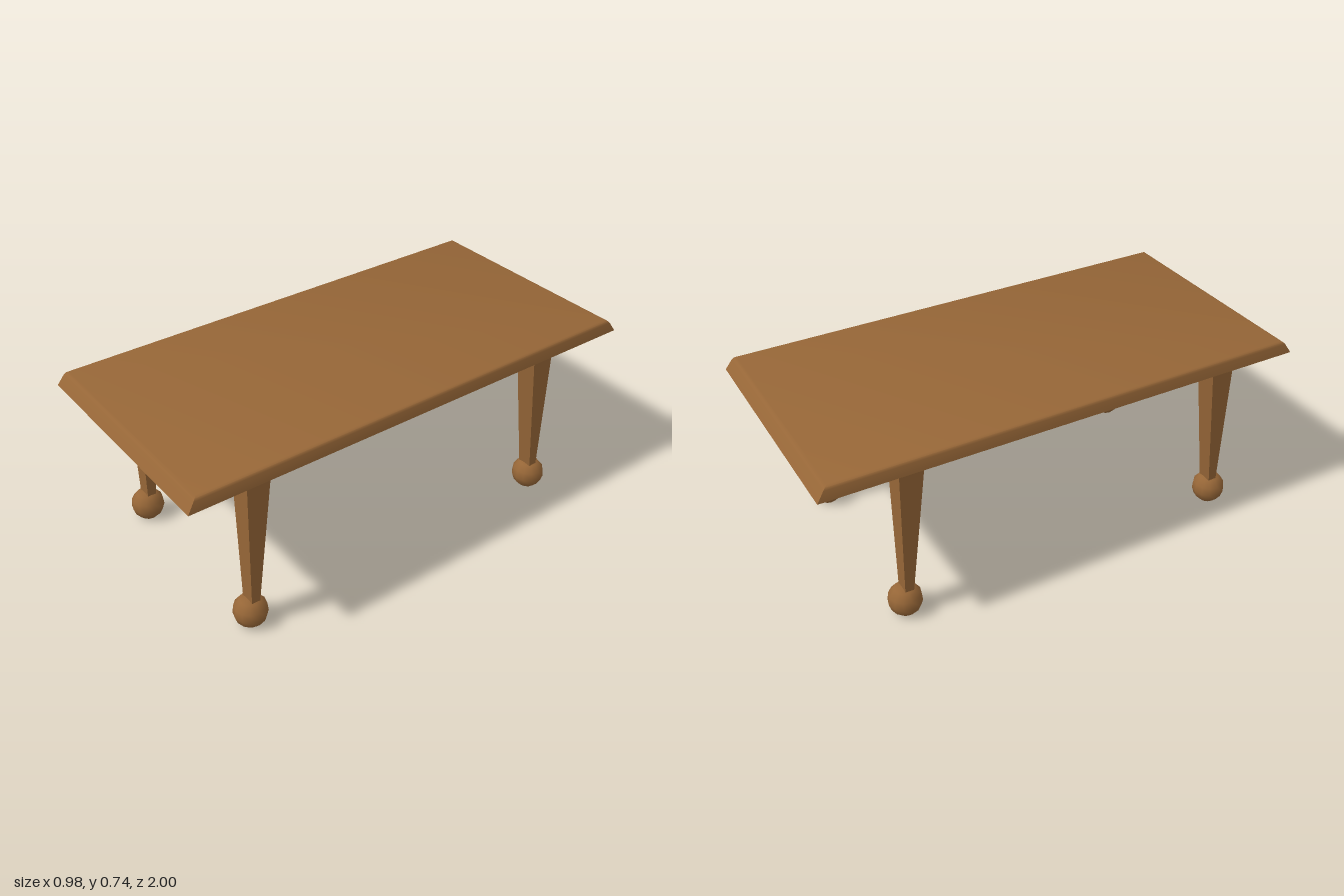
import * as THREE from 'three';
import { toCreasedNormals } from 'three/addons/utils/BufferGeometryUtils.js';

// Solid lofted through rectangular sections [y, x0, x1, z0, z1], listed bottom to top
function loftRects(sections, crease) {
  const pos = [], index = [];
  for (const [y, x0, x1, z0, z1] of sections) {
    pos.push(x0, y, z1, x1, y, z1, x1, y, z0, x0, y, z0);
  }
  for (let s = 0; s < sections.length - 1; s++) {
    for (let i = 0; i < 4; i++) {
      const a = s * 4 + i, b = s * 4 + (i + 1) % 4;
      index.push(a, b, b + 4, a, b + 4, a + 4);
    }
  }
  const t = (sections.length - 1) * 4;
  index.push(0, 2, 1, 0, 3, 2, t, t + 1, t + 2, t, t + 2, t + 3);
  const geo = new THREE.BufferGeometry();
  geo.setAttribute('position', new THREE.Float32BufferAttribute(pos, 3));
  geo.setIndex(index);
  return toCreasedNormals(geo, crease);
}

export function createModel() {
  const model = new THREE.Group();
  model.name = 'table';
  const wood = new THREE.MeshStandardMaterial({ color: 0x966637 });
  wood.name = 'brown wood';

  const add = (parent, name, geo) => {
    const mesh = new THREE.Mesh(geo, wood);
    mesh.name = name;
    parent.add(mesh);
    return mesh;
  };

  // Tabletop: sloping edge with a softened upper rim
  const rim = [[0.69, 0.488, 1], [0.73, 0.481, 0.973], [0.739, 0.477, 0.965], [0.743, 0.468, 0.955]];
  add(model, 'tabletop', loftRects(rim.map(([y, x, z]) => [y, -x, x, -z, z]), 0.9));

  // Ball foot with a flat base
  const footProfile = [[0, 0], [0.035, 0], [0.058, 0.024], [0.067, 0.052], [0.063, 0.086], [0.041, 0.113], [0, 0.122]]
    .map(([r, y]) => new THREE.Vector2(r, y));
  const footGeo = toCreasedNormals(new THREE.LatheGeometry(footProfile, 12), 0.75);

  // Legs: straight on the +z or -z outer face, tapering on the other three
  for (const [end, outer] of [['front', 0.75], ['back', -0.69]]) {
    const dir = Math.sign(outer);
    for (const side of [1, -1]) {
      const leg = new THREE.Group();
      leg.name = end + (side > 0 ? 'Left' : 'Right') + 'Leg';
      leg.position.x = side * 0.394;
      const section = (y, halfX, depth) => {
        const inner = outer - dir * depth;
        return [y, -halfX, halfX, Math.min(inner, outer), Math.max(inner, outer)];
      };
      add(leg, 'taperedPost', loftRects([section(0.09, 0.03, 0.033), section(0.7, 0.049, 0.1)], 0.5));
      add(leg, 'ballFoot', footGeo).position.z = outer - dir * 0.01;
      model.add(leg);
    }
  }
  return model;
}
